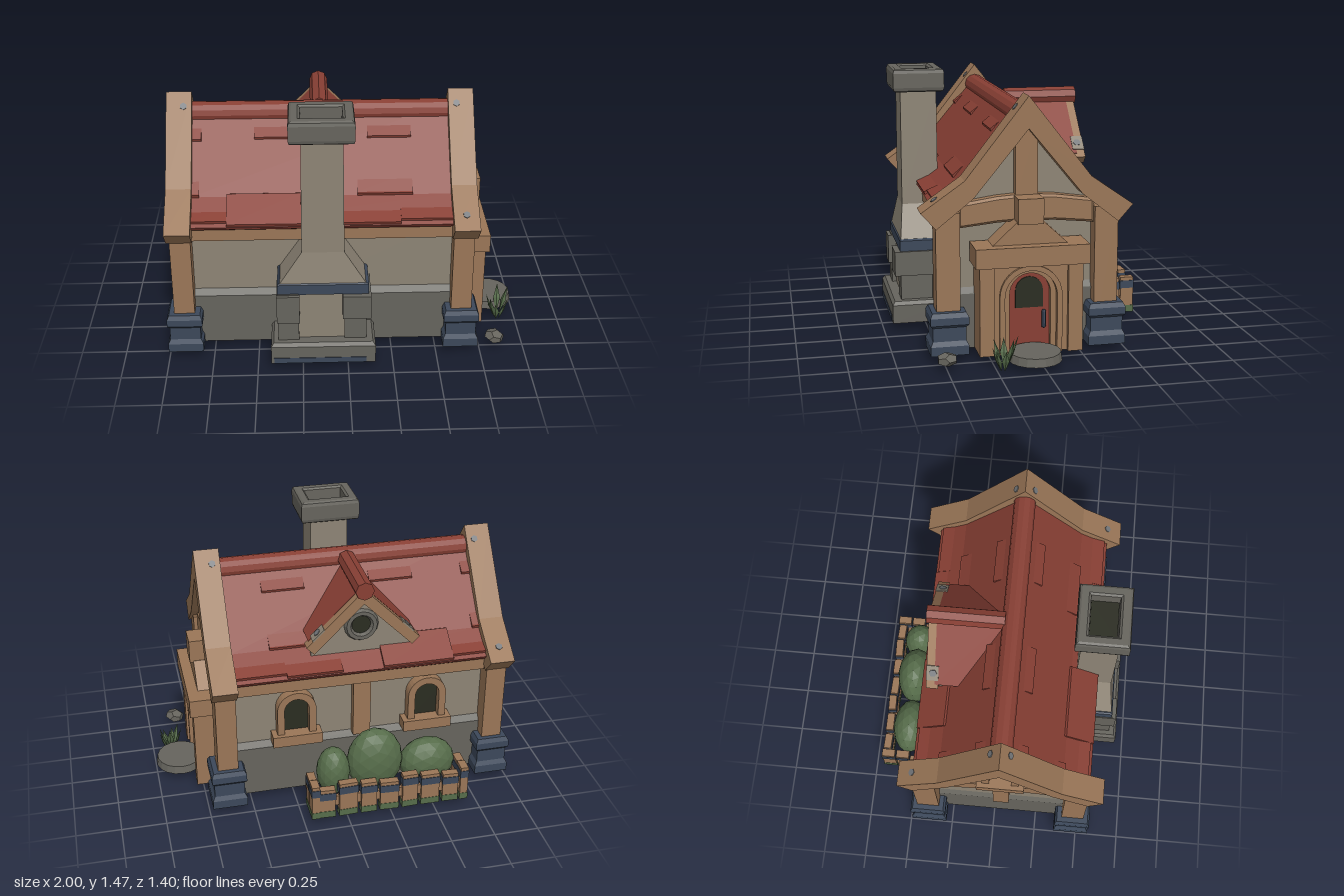
import * as THREE from 'three';

const mat = (name, color) => new THREE.MeshStandardMaterial({ name, color });
const wood = mat('wood', 0x9a7657), plaster = mat('plaster', 0x8d8475), red = mat('roof red', 0x883f34),
  stone = mat('stone', 0x66645d), slate = mat('slate blue', 0x3c485a), dark = mat('dark glass', 0x2a2c21),
  green = mat('leaf green', 0x566c4a), iron = mat('iron', 0x74777a);
for (const m of [plaster, stone, slate]) m.side = THREE.DoubleSide;   // shells open underneath

const ZC = 0.043, XC = -0.135;           // ridge line and middle of the house
const mirrorZ = z => 2 * ZC - z, mirrorX = x => 2 * XC - x;

export function createModel() {
  const root = new THREE.Group();
  root.name = 'cottage';

  // ---- helpers ----
  const add = (name, geo, material, parent = root) => {
    const g = geo.index ? geo.toNonIndexed() : geo;
    g.computeVertexNormals();            // faceted look
    const m = new THREE.Mesh(g, material);
    m.name = name;
    parent.add(m);
    return m;
  };
  const box = (name, material, x0, x1, y0, y1, z0, z1, parent) =>
    add(name, new THREE.BoxGeometry(x1 - x0, y1 - y0, z1 - z0)
      .translate((x0 + x1) / 2, (y0 + y1) / 2, (z0 + z1) / 2), material, parent);
  const poly = pts => new THREE.Shape(pts.map(p => new THREE.Vector2(...p)));
  const extrude = (shape, depth, bevel = 0) => new THREE.ExtrudeGeometry(shape, { depth: depth - 2 * bevel, curveSegments: 8,
    bevelEnabled: bevel > 0, bevelSize: bevel, bevelThickness: bevel, bevelOffset: -bevel, bevelSegments: 1 }).translate(0, 0, bevel);
  // profile of [z, y] points run along x
  const prismX = (name, material, pts, x0, x1, bevel) =>
    add(name, extrude(poly(pts.map(([z, y]) => [-z, y])), x1 - x0, bevel).rotateY(Math.PI / 2).translate(x0, 0, 0), material);
  // profile of [x, y] points run along z
  const prismZ = (name, material, pts, z0, z1) =>
    add(name, extrude(poly(pts), z1 - z0).translate(0, 0, z0), material);
  const symZ = half => [...half, ...half.slice().reverse().map(([z, y]) => [mirrorZ(z), y])];
  // stacked rectangles [y, x0, x1, z0, z1]
  const loft = (name, material, rings) => {
    const v = [], R = rings.map(([y, x0, x1, z0, z1]) => [[x0, y, z1], [x1, y, z1], [x1, y, z0], [x0, y, z0]]);
    const quad = (a, b, c, d) => v.push(...a, ...b, ...c, ...a, ...c, ...d);
    for (let i = 0; i < R.length - 1; i++)
      for (let k = 0; k < 4; k++) quad(R[i][k], R[i][(k + 1) % 4], R[i + 1][(k + 1) % 4], R[i + 1][k]);
    quad(...R[R.length - 1]);
    quad(...R[0].slice().reverse());
    const g = new THREE.BufferGeometry();
    g.setAttribute('position', new THREE.Float32BufferAttribute(v, 3));
    return add(name, g, material);
  };
  // remove the level faces at the given heights
  const openAt = (mesh, ...heights) => {
    const p = mesh.geometry.attributes.position, keep = [];
    for (let i = 0; i < p.count; i += 3)
      if (!heights.some(h => [0, 1, 2].every(k => Math.abs(p.getY(i + k) - h) < 1e-4)))
        keep.push(...p.array.slice(i * 3, i * 3 + 9));
    mesh.geometry = new THREE.BufferGeometry();
    mesh.geometry.setAttribute('position', new THREE.Float32BufferAttribute(keep, 3));
    mesh.geometry.computeVertexNormals();
  };
  const arch = (w, y0, spring, Kind = THREE.Shape) => {
    const s = new Kind();
    s.moveTo(-w, y0); s.lineTo(w, y0); s.lineTo(w, spring);
    s.absarc(0, spring, w, 0, Math.PI, false);
    s.lineTo(-w, y0);
    return s;
  };
  const archRing = (wo, wi, y0, spring, depth) => {
    const s = arch(wo, y0, spring);
    s.holes.push(arch(wi, y0 + 0.001, spring, THREE.Path));
    return extrude(s, depth);
  };
  const place = (name, x, z, ry) => {
    const g = new THREE.Group();
    g.name = name; g.position.set(x, 0, z); g.rotation.y = ry;
    root.add(g);
    return g;
  };

  // ---- walls ----
  openAt(prismX('walls', plaster, symZ([[0.44, 0.047], [0.44, 0.815], [0.36, 0.872], [ZC, 1.24]]), -0.88, 0.61), 0.047);
  openAt(loft('stoneFooting', stone, [[0.045, -0.9, 0.63, -0.38, 0.466], [0.345, -0.9, 0.63, -0.38, 0.466],
    [0.385, -0.875, 0.605, -0.35, 0.436]]), 0.045, 0.385);

  // ---- corner posts on slate bases ----
  for (const x of [-0.905, 0.635]) for (const z of [0.467, -0.385]) {
    box('cornerPost', wood, x - 0.057, x + 0.057, 0.06, 0.8, z - 0.064, z + 0.064);
    openAt(loft('postBase', slate, [[0.045, 0.098], [0.095, 0.098], [0.12, 0.085], [0.195, 0.085], [0.21, 0.098],
      [0.25, 0.098], [0.275, 0.086]].map(([y, r]) => [y, x - r, x + r, z - r - 0.004, z + r + 0.004])), 0.045);
  }

  // ---- gable timbers on both ends ----
  const rafter = [[0.53, 0.72], [0.61, 0.81], [0.38, 0.97], [ZC, 1.40], [mirrorZ(0.38), 0.97], [mirrorZ(0.61), 0.81],
    [mirrorZ(0.53), 0.72], [mirrorZ(0.335), 0.875], [ZC, 1.23], [0.335, 0.875]];
  const tie = symZ([[ZC, 0.738], [0.2, 0.731], [0.41, 0.71], [0.41, 0.84], [0.2, 0.87], [ZC, 0.88]]);
  for (const side of [1, -1]) {
    const span = (a, b) => side > 0 ? [a, b] : [mirrorX(b), mirrorX(a)];
    prismX('gableRafters', wood, rafter, ...span(0.57, 0.71));
    prismX('tieBeam', wood, tie, ...span(0.57, 0.67), 0.014);
    // bolts: two near the peak, one at a foot
    for (const [s, d, y, tilt, dx] of [[1, 0.052, 1.334, 0.906, -0.025], [-1, 0.052, 1.334, 0.906, -0.025], [side, 0.487, 0.866, 0.607, 0]]) {
      const bolt = add('bolt', new THREE.CylinderGeometry(0.02, 0.02, 0.008, 6), iron);
      bolt.position.set((side > 0 ? 0.64 : mirrorX(0.64)) + side * dx, y, ZC + s * d);
      bolt.rotation.x = s * tilt;
    }
  }
  box('kingPost', wood, 0.6, 0.66, 0.86, 1.26, ZC - 0.06, ZC + 0.06);
  box('leftWallPost', wood, -0.925, -0.87, 0.36, 0.75, ZC - 0.045, ZC + 0.045);

  // ---- eave beams and back post ----
  for (const f of [z => z, mirrorZ])
    prismX('eaveBeam', wood, [[0.435, 0.715], [0.5, 0.715], [0.5, 0.805], [0.435, 0.84]].map(([z, y]) => [f(z), y]), -0.845, 0.58);
  box('backPost', wood, XC - 0.055, XC + 0.045, 0.37, 0.74, -0.4, -0.345);

  // ---- main roof with raised tiles ----
  prismX('roof', red, [[0.515, 0.79], [0.533, 0.813], [0.38, 0.92], [ZC, 1.32], [mirrorZ(0.38), 0.92], [mirrorZ(0.533), 0.813],
    [mirrorZ(0.515), 0.79], [mirrorZ(0.37), 0.878], [ZC, 1.25], [0.37, 0.878]], -0.845, 0.575);
  const roofY = d => d < 0.337 ? 1.32 - 1.187 * d : 0.92 - 0.7 * (d - 0.337);
  const tile = (f, x0, x1, d0, d1) => {
    const bend = d0 < 0.337 && d1 > 0.337, pts = [[d0, roofY(d0) - 0.01]];
    if (bend) pts.push([0.337, 0.938]);
    pts.push([d1, roofY(d1) + 0.02], [d1 - 0.012, roofY(d1) - 0.015]);
    if (bend) pts.push([0.337, 0.895]);
    prismX('roofTile', red, pts.map(([d, y]) => [f(ZC + d), y]), x0, x1);
  };
  const tiles = [[-0.5, -0.25, 0.06, 0.135], [0.12, 0.36, 0.06, 0.135], [0.06, 0.36, 0.25, 0.345],
    [-0.84, -0.8, 0.25, 0.345], [-0.84, -0.65, 0.38, 0.475], [-0.65, -0.25, 0.32, 0.492],
    [-0.02, 0.29, 0.38, 0.49], [0.29, 0.57, 0.37, 0.475], [-0.84, -0.79, 0.06, 0.14]];
  for (const f of [z => z, mirrorZ]) for (const t of tiles) tile(f, ...t);
  add('ridgeRoll', new THREE.CylinderGeometry(0.06, 0.06, 1.42, 12).rotateZ(Math.PI / 2).translate(XC, 1.278, ZC), red);

  // ---- dormer on the back slope ----
  const D = -0.14;
  const chevron = (half, top, t) => [[D - half, top - half], [D, top], [D + half, top - half],
    [D + half - t / 2, top - half - t / 2], [D, top - t], [D - half + t / 2, top - half - t / 2]];
  prismZ('dormerRoof', red, chevron(0.3, 1.29, 0.06), -0.365, 0);
  prismZ('dormerRafters', wood, chevron(0.317, 1.288, 0.085), -0.41, -0.345);
  prismZ('dormerWall', plaster, [[D - 0.28, 0.86], [D + 0.28, 0.86], [D + 0.28, 0.95], [D, 1.23], [D - 0.28, 0.95]], -0.345, -0.1);
  add('dormerRidge', new THREE.CylinderGeometry(0.052, 0.052, 0.42, 8).rotateX(Math.PI / 2).translate(D, 1.283, -0.21), red);
  add('roundWindowRing', new THREE.TorusGeometry(0.075, 0.022, 6, 16).translate(D, 1.05, -0.35), stone);
  add('roundWindowGlass', new THREE.CircleGeometry(0.072, 16).rotateY(Math.PI).translate(D, 1.05, -0.349), dark);
  for (const s of [-1, 1]) {
    add('dormerStrap', new THREE.BoxGeometry(0.09, 0.008, 0.067).rotateZ(-s * Math.PI / 4)
      .translate(D + s * 0.25, 1.04, -0.378), plaster);
    add('dormerBolt', new THREE.CylinderGeometry(0.022, 0.022, 0.014, 6).rotateZ(-s * Math.PI / 4)
      .translate(D + s * 0.25, 1.041, -0.375), iron);
  }

  // ---- arched windows ----
  const archWindow = (x, z, ry, w, y0, spring) => {
    const g = place('archedWindow', x, z, ry);
    add('windowFrame', archRing(w + 0.04, w, y0, spring, 0.06), wood, g);
    add('windowGlass', extrude(arch(w, y0, spring), 0.008).translate(0, 0, 0.005), dark, g);
    box('windowSill', wood, -w - 0.07, w + 0.07, y0 - 0.055, y0 + 0.01, 0, 0.085, g);
  };
  for (const x of [0.235, -0.515]) archWindow(x, -0.357, Math.PI, 0.07, 0.43, 0.59);
  archWindow(-0.88, ZC, -Math.PI / 2, 0.06, 0.88, 1.0);

  // ---- chimney ----
  const cx = -0.137;
  openAt(loft('hearthBase', stone, [[0.045, -0.425, 0.15, 0.4, 0.7], [0.15, -0.425, 0.15, 0.4, 0.7],
    [0.17, -0.41, 0.135, 0.4, 0.685]]), 0.045);
  box('hearthStain', slate, -0.41, 0.1, 0.047, 0.08, 0.697, 0.703);
  box('hearthPanel', plaster, -0.3, 0, 0.16, 0.46, 0.4, 0.63);
  box('hearthPillar', stone, -0.385, -0.27, 0.16, 0.46, 0.4, 0.655);
  box('hearthPillar', stone, -0.02, 0.1, 0.16, 0.46, 0.4, 0.645);
  box('hearthBlock', stone, -0.39, -0.265, 0.29, 0.455, 0.4, 0.675);
  box('hearthBlock', stone, -0.03, 0.125, 0.315, 0.455, 0.4, 0.68);
  loft('mantel', slate, [[0.455, -0.385, 0.112, 0.4, 0.648], [0.515, -0.385, 0.112, 0.4, 0.648], [0.522, -0.375, 0.1, 0.4, 0.64]]);
  loft('chimneyShaft', plaster, [[0.515, -0.375, 0.1, 0.4, 0.642], [0.7, -0.25, -0.02, 0.41, 0.617], [1.37, -0.245, -0.025, 0.412, 0.615]]);
  loft('chimneyCap', stone, [[1.345, 0.155, 0.127], [1.352, 0.167, 0.138], [1.37, 0.172, 0.143], [1.45, 0.172, 0.143],
    [1.468, 0.167, 0.138], [1.475, 0.155, 0.127], [1.475, 0.122, 0.09], [1.465, 0.11, 0.078], [1.39, 0.108, 0.076]]
    .map(([y, a, b]) => [y, cx - a, cx + a, 0.517 - b, 0.517 + b]));
  box('chimneyFlue', dark, cx - 0.106, cx + 0.106, 1.39, 1.398, 0.443, 0.591);

  // ---- door porch, facing +x ----
  const porch = place('doorPorch', 0.6, ZC, Math.PI / 2);
  const front = poly([[-0.275, 0.045], [0.275, 0.045], [0.275, 0.53], [-0.275, 0.53]]);
  front.holes.push(arch(0.14, 0.046, 0.355, THREE.Path));
  add('porchFront', extrude(front, 0.165), wood, porch);
  for (const s of [-1, 1]) box('porchPilaster', wood, s * 0.237 - 0.039, s * 0.237 + 0.039, 0.045, 0.53, 0.02, 0.19, porch);
  add('archTrim', archRing(0.168, 0.14, 0.045, 0.355, 0.18), wood, porch);
  add('doorFrame', archRing(0.141, 0.11, 0.045, 0.365, 0.15), wood, porch);
  add('door', extrude(arch(0.111, 0.045, 0.365), 0.12), red, porch);
  add('doorWindow', extrude(arch(0.074, 0.28, 0.375), 0.006).translate(0, 0, 0.12), dark, porch);
  add('doorHandle', new THREE.CapsuleGeometry(0.012, 0.08, 3, 6).translate(0.075, 0.22, 0.145), slate, porch);
  box('porchBeam', wood, -0.299, 0.307, 0.525, 0.63, 0.02, 0.21, porch);
  add('porchBracket', extrude(poly([[-0.2, 0.63], [0.2, 0.63], [0.07, 0.75], [-0.07, 0.75]]), 0.15), wood, porch);
  box('porchKeyBlock', wood, -0.068, 0.068, 0.74, 0.875, 0, 0.17, porch);

  // ---- door step, rock and grass ----
  add('doorStep', new THREE.CylinderGeometry(0.132, 0.14, 0.045, 18).scale(1, 1, 1.02).translate(0.858, 0.064, 0.04), stone);
  add('rock', new THREE.DodecahedronGeometry(0.058).scale(0.95, 0.6, 1.05).rotateY(0.5).translate(0.838, 0.066, 0.5), stone);
  for (let i = 0; i < 7; i++) {
    const a = i * 2.4, h = 0.13 + 0.022 * (i % 3);
    const blade = add('grassBlade', new THREE.OctahedronGeometry(1).scale(0.007, h / 2, 0.02).rotateY(-a).translate(0, h / 2, 0), green);
    blade.position.set(0.895 + 0.02 * Math.cos(a), 0.004 + 0.012 * (i % 3), 0.213 + 0.02 * Math.sin(a));
    blade.rotation.set(0.32 * Math.sin(a), 0, -0.32 * Math.cos(a));
  }

  // ---- bushes ----
  for (const [x, y, rx, ry, rz] of [[-0.485, 0.24, 0.16, 0.145, 0.102], [-0.178, 0.29, 0.16, 0.2, 0.107], [0.06, 0.25, 0.095, 0.15, 0.095]])
    add('bush', new THREE.IcosahedronGeometry(1, 2).scale(rx, ry, rz).translate(x, y, -0.547), green);

  // ---- picket fence ----
  const picket = (x, z, ry, w, h) => {
    const g = place('picket', x, z, ry), t = 0.022;
    box('plank', wood, -w, w, 0.045, h, -t, t, g);
    box('paintBand', slate, -w - 0.003, w + 0.003, h - 0.065, h - 0.02, -t - 0.003, t + 0.003, g);
    box('mossBand', green, -w - 0.002, w + 0.002, 0.045, 0.085, -t - 0.002, t + 0.002, g);
  };
  for (let i = 0; i < 7; i++) picket(-0.585 + i * 0.118, -0.674, 0.04 * (i % 3 - 1), i % 2 ? 0.052 : 0.044, 0.225 + 0.015 * (i % 3));
  for (const x of [-0.665, 0.19]) {
    picket(x, -0.66, Math.PI / 2, 0.038, 0.255);
    picket(x, -0.575, Math.PI / 2, 0.038, 0.25);
    box('fenceSideRail', wood, x - 0.012, x + 0.012, 0.1, 0.18, -0.66, -0.465);
  }
  box('fenceRail', wood, -0.665, 0.19, 0.11, 0.17, -0.682, -0.66);
  return root;
}
